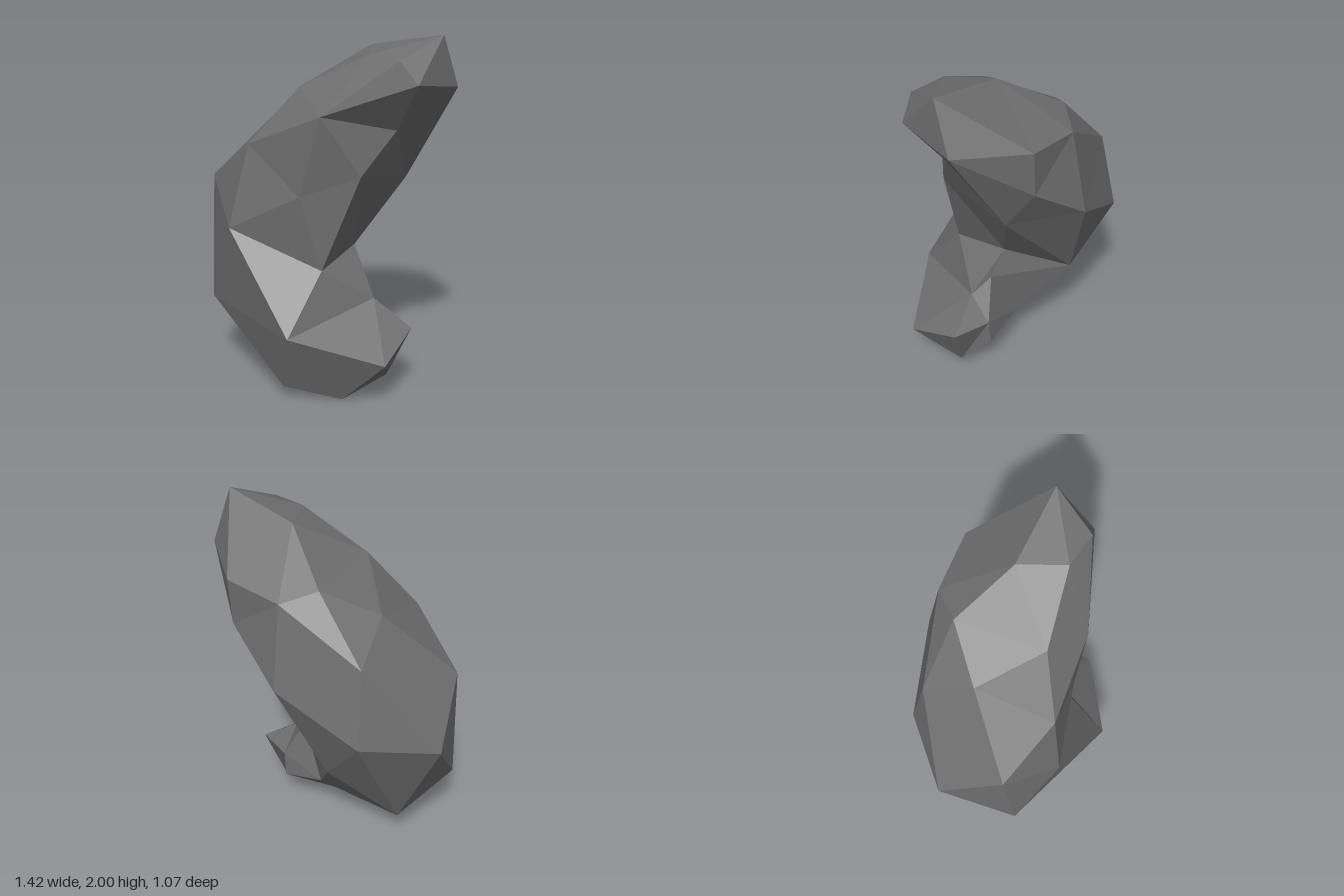
import * as THREE from 'three';

const V = (x, y, z) => new THREE.Vector3(x, y, z);

// One cross-section: corner points running inner side -> front -> outer side -> back.
// The pattern assigns a corner to each of eight columns, so corners may be shared.
const ring = (pattern, ...points) => [...pattern].map((digit) => points[Number(digit)]);

// Joins consecutive rings, cutting each quad along its shorter diagonal.
function skin(rings) {
  const positions = [];
  const triangle = (a, b, c) => {
    if (a.equals(b) || b.equals(c) || c.equals(a)) return;
    for (const p of [a, b, c]) positions.push(p.x, p.y, p.z);
  };
  for (let r = 0; r < rings.length - 1; r++) {
    const upper = rings[r], lower = rings[r + 1];
    for (let i = 0; i < upper.length; i++) {
      const j = (i + 1) % upper.length;
      const a = upper[i], b = upper[j], c = lower[j], d = lower[i];
      if (a.distanceTo(c) < b.distanceTo(d)) {
        triangle(a, b, c);
        triangle(a, c, d);
      } else {
        triangle(a, b, d);
        triangle(b, c, d);
      }
    }
  }
  const geometry = new THREE.BufferGeometry();
  geometry.setAttribute('position', new THREE.Float32BufferAttribute(positions, 3));
  geometry.computeVertexNormals();
  return geometry;
}

export function createModel() {
  const stone = new THREE.MeshStandardMaterial({ name: 'dark grey stone', color: 0x6e6e6e });
  stone.flatShading = true;

  const shoulder = V(0.71, 1.72, -0.04);
  const toe = V(0.39, 0.08, 0.10);

  const rings = [
    // pointed top
    ring('00000000', V(0.65, 2.0, 0.06)),
    ring('01234550', shoulder, V(0.58, 1.77, 0.28), V(0.48, 1.89, 0.28),
      V(0.29, 1.90, 0.20), V(0.23, 1.92, -0.06), V(0.46, 1.70, -0.37)),
    // upper body
    ring('01123456', V(0.43, 1.50, 0.13), V(0.08, 1.59, 0.35), V(-0.10, 1.71, 0.17),
      V(-0.03, 1.71, -0.32), V(0.14, 1.66, -0.44), V(0.44, 1.44, -0.37), shoulder),
    ring('01234566', V(0.27, 1.26, 0.24), V(-0.05, 1.14, 0.32), V(-0.36, 1.40, 0.27),
      V(-0.31, 1.55, -0.16), V(-0.31, 1.375, -0.44), V(0.14, 1.19, -0.53), V(0.40, 1.17, -0.19)),
    // waist of the bend
    ring('01223456', V(0.06, 0.72, 0.27), V(-0.46, 0.93, 0.33), V(-0.67, 1.15, 0.06),
      V(-0.71, 0.87, -0.30), V(-0.33, 0.94, -0.53), V(-0.09, 0.60, -0.37), V(0.14, 0.78, -0.06)),
    // lower body
    ring('01222345', V(0.30, 0.52, 0.07), V(-0.04, 0.41, 0.54), V(-0.67, 0.43, 0.12),
      V(-0.43, 0.21, -0.14), V(0.07, 0.28, -0.10), V(0.21, 0.61, -0.01)),
    // blunt foot
    ring('01222345', V(0.52, 0.37, 0.07), V(0.46, 0.26, 0.38), V(-0.11, 0.07, 0.42),
      V(0.01, 0.01, 0.17), V(0.32, 0.22, -0.06), V(0.33, 0.37, -0.05)),
    ring('01111200', toe, V(0.20, 0, 0.33), V(0.01, 0.01, 0.17)),
    ring('00000000', toe),
  ];

  const rock = new THREE.Mesh(skin(rings), stone);
  rock.name = 'curvedRock';
  const group = new THREE.Group();
  group.name = 'rock';
  group.add(rock);
  return group;
}
